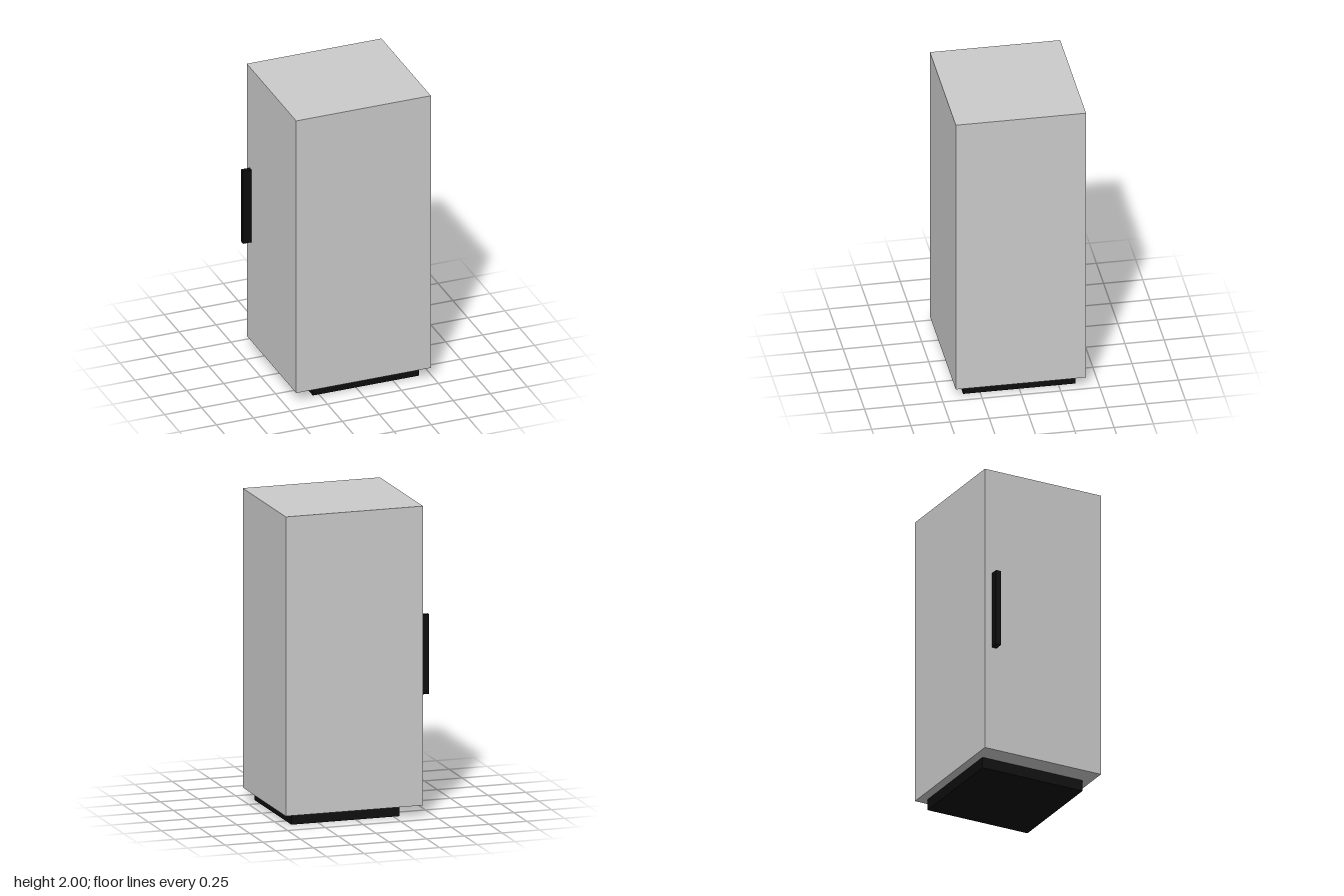
import * as THREE from 'three';

const grey = new THREE.MeshStandardMaterial({ color: 0xcccccc });
const black = new THREE.MeshStandardMaterial({ color: 0x0d0d0d });

// Box spanning two opposite corners
function block(name, material, [x0, y0, z0], [x1, y1, z1]) {
  const mesh = new THREE.Mesh(new THREE.BoxGeometry(x1 - x0, y1 - y0, z1 - z0), material);
  mesh.position.set((x0 + x1) / 2, (y0 + y1) / 2, (z0 + z1) / 2);
  mesh.name = name;
  return mesh;
}

export function createModel() {
  const cabinet = new THREE.Group();
  cabinet.name = 'cabinet';
  cabinet.add(
    // Tall plain body
    block('body', grey, [-0.427, 0.072, -0.415], [0.483, 2, 0.415]),
    // Recessed plinth under the body
    block('plinth', black, [-0.292, 0, -0.358], [0.426, 0.072, 0.358]),
    // Upright handle on the right side, near the back edge
    block('handle', black, [-0.485, 0.775, -0.366], [-0.427, 1.287, -0.333]),
  );
  return cabinet;
}
